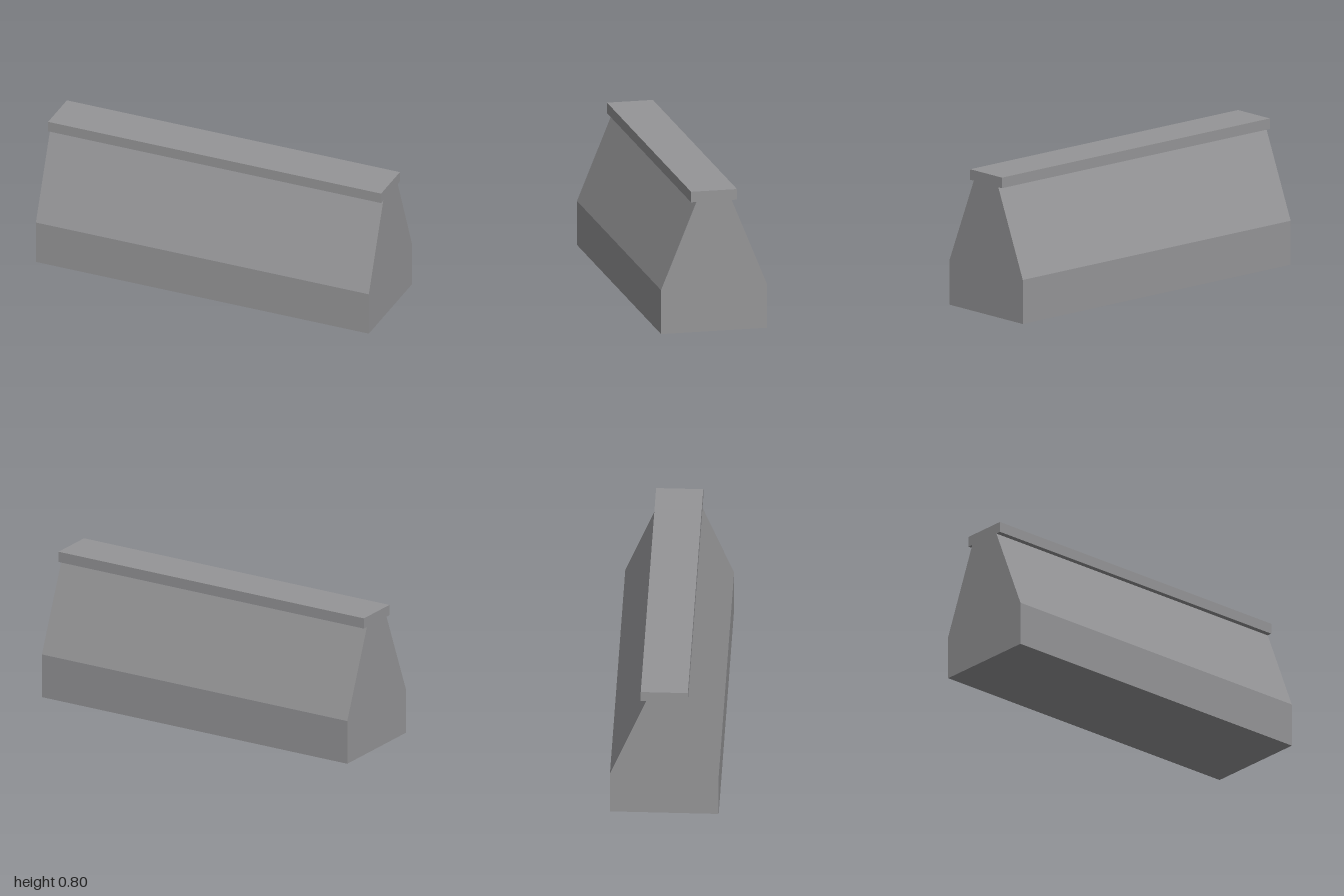
import * as THREE from 'three';

export function createModel() {
  const model = new THREE.Group();
  model.name = 'barrier';
  const concrete = new THREE.MeshStandardMaterial({ color: 0x959597 });
  concrete.name = 'concrete grey';

  // Half cross-section (half depth, height): upright foot, sloped side, overhanging cap
  const half = [[0.3, 0], [0.3, 0.25], [0.1, 0.74], [0.13, 0.74], [0.13, 0.8]];
  const mirrored = half.map(([d, y]) => [-d, y]).reverse();
  const profile = new THREE.Shape([...half, ...mirrored].map(([d, y]) => new THREE.Vector2(d, y)));

  // Extrude the section along the length of the barrier
  const length = 2;
  const geometry = new THREE.ExtrudeGeometry(profile, { depth: length, bevelEnabled: false });
  geometry.translate(0, 0, -length / 2).rotateY(Math.PI / 2);

  const body = new THREE.Mesh(geometry, concrete);
  body.name = 'barrierBody';
  model.add(body);
  return model;
}
